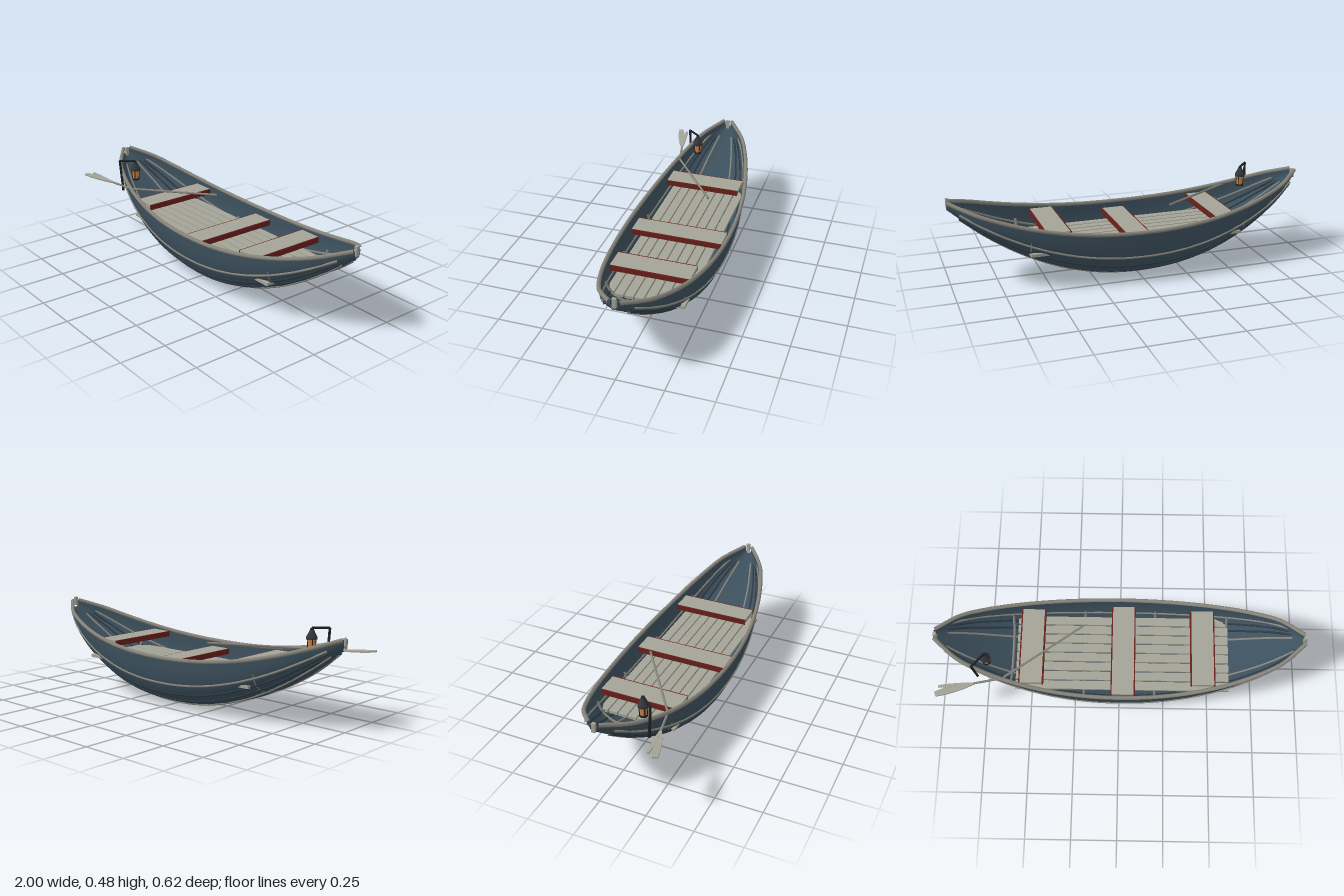
import * as THREE from 'three';

const mat = (name, color, side = THREE.FrontSide) => {
  const m = new THREE.MeshStandardMaterial({ color, side });
  m.name = name;
  return m;
};
const V = (x, y, z) => new THREE.Vector3(x, y, z);
const ZC = -0.01; // centreline of the hull

// Hull lines: half width, gunwale height and keel height at station x
const halfWidth = x => 0.287 * Math.pow(Math.max(0, 1 - x * x), 0.6);
const gunwale = x => 0.285 + 0.182 * Math.pow(Math.abs(x), 2.2);
const keel = x => 0.003 + 0.425 * Math.pow(Math.abs(x), 2.1);

// Point on the hull skin; a runs from -90 degrees (right rail) to +90 (left rail)
function hullPoint(x, a, scale = 1) {
  const e = 2 / 2.8;
  const u = Math.sign(a) * Math.pow(Math.abs(Math.sin(a)), e);
  const v = Math.pow(Math.max(0, Math.cos(a)), e);
  const g = gunwale(x);
  return V(x, g - (g - keel(x)) * v * scale, ZC + halfWidth(x) * u * scale);
}

function hullGeometry(nx = 16, na = 32) {
  const pos = [], idx = [];
  for (let i = 0; i <= nx; i++) {
    for (let j = 0; j <= na; j++) {
      const p = hullPoint(-0.995 + 1.99 * i / nx, (j / na - 0.5) * Math.PI);
      pos.push(p.x, p.y, p.z);
      if (i < nx && j < na) {
        const k = i * (na + 1) + j, l = k + na + 1;
        idx.push(k, l, k + 1, l, l + 1, k + 1);
      }
    }
  }
  const geo = new THREE.BufferGeometry();
  geo.setAttribute('position', new THREE.Float32BufferAttribute(pos, 3));
  geo.setIndex(idx);
  geo.computeVertexNormals();
  return geo;
}

export function createModel() {
  const boat = new THREE.Group();
  boat.name = 'rowingBoat';
  const paint = mat('bluePaint', 0x3c505d, THREE.DoubleSide);
  const dark = mat('darkPaint', 0x2b3942);
  const wood = mat('weatheredWood', 0xa3a396);
  const trim = mat('greyTrim', 0x86837a);
  const red = mat('redPaint', 0x6a1f1b);
  const iron = mat('blackIron', 0x1f2124);
  const roofMetal = mat('lanternMetal', 0x36373b);
  const glass = mat('amberGlass', 0xd08440);

  const add = (name, geo, material, x = 0, y = 0, z = 0, parent = boat) => {
    const m = new THREE.Mesh(geo, material);
    m.name = name;
    m.position.set(x, y, z);
    parent.add(m);
    return m;
  };
  const box = (name, w, h, d, material, x, y, z, parent) =>
    add(name, new THREE.BoxGeometry(w, h, d), material, x, y, z, parent);
  const tube = (name, pts, r, material, segs = 32, parent = boat) =>
    add(name, new THREE.TubeGeometry(new THREE.CatmullRomCurve3(pts), segs, r, 8), material, 0, 0, 0, parent);
  // Straight round bar between two points
  const bar = (name, a, b, r, material, parent) => {
    const m = add(name, new THREE.CylinderGeometry(r, r, a.distanceTo(b), 10), material, 0, 0, 0, parent);
    m.position.addVectors(a, b).multiplyScalar(0.5);
    m.quaternion.setFromUnitVectors(V(0, 1, 0), b.clone().sub(a).normalize());
    return m;
  };

  add('hull', hullGeometry(), paint);

  // Rails and strakes follow the hull lines on both sides
  const along = (a, end, n = 16) =>
    Array.from({ length: n + 1 }, (_, i) => hullPoint(-end + 2 * end * i / n, a));
  for (const s of [1, -1]) {
    const side = s > 0 ? 'left' : 'right';
    tube(side + 'Rail', along(s * Math.PI / 2, 0.992), 0.011, trim, 64);
    [[1.182, trim], [0.918, dark], [0.65, dark], [0.374, trim]].forEach(([a, m], i) =>
      tube(side + 'Strake' + (i + 1), along(s * a, 0.94), 0.006, m, 48));
  }

  // Stem posts
  box('bowPost', 0.016, 0.05, 0.02, wood, 0.99, 0.46, ZC);
  box('sternPost', 0.016, 0.05, 0.02, wood, -0.99, 0.442, ZC);

  // Frames inside the hull
  for (const x of [-0.6, -0.2, 0.2, 0.6]) {
    const pts = Array.from({ length: 17 }, (_, i) => hullPoint(x, (i / 8 - 1) * 1.3, 0.97));
    tube('frame', pts, 0.007, trim);
  }

  // Floorboards
  for (let i = 0; i < 8; i++)
    box('floorboard', 1.18, 0.016, 0.047, wood, 0.016, 0.198, ZC + (i - 3.5) * 0.0545);

  // Seats with red edge boards
  for (const [x, y, d] of [[-0.48, 0.295, 0.43], [0.02, 0.245, 0.515], [0.455, 0.3, 0.43]]) {
    const seat = new THREE.Group();
    seat.name = 'seat';
    seat.position.set(x, y, ZC);
    boat.add(seat);
    box('seatBoard', 0.12, 0.024, d, wood, 0, 0, 0, seat);
    for (const s of [1, -1])
      box('seatEdge', 0.008, 0.03, d, red, s * 0.063, -0.004, 0, seat);
  }

  // Oar resting over the rail, with a split blade
  const oar = new THREE.Group();
  oar.name = 'oar';
  boat.add(oar);
  const grip = V(-0.2, 0.36, -0.11), bend = V(-0.63, 0.343, 0.195), neck = V(-0.78, 0.348, 0.228);
  bar('oarShaft', grip, bend, 0.006, trim, oar);
  bar('oarNeck', bend, neck, 0.006, trim, oar);
  const blade = (tip, w) => {
    const len = neck.distanceTo(tip);
    const shape = new THREE.Shape();
    shape.moveTo(-0.005, 0);
    shape.bezierCurveTo(-w, len * 0.3, -w, len * 0.8, -w * 0.6, len);
    shape.lineTo(w * 0.6, len);
    shape.bezierCurveTo(w, len * 0.8, w, len * 0.3, 0.005, 0);
    const geo = new THREE.ExtrudeGeometry(shape, { depth: 0.008, bevelEnabled: false });
    geo.translate(0, 0, -0.004);
    const m = add('oarBlade', geo, wood, neck.x, neck.y, neck.z, oar);
    const yAxis = tip.clone().sub(neck).normalize();
    const xAxis = yAxis.clone().cross(V(0, 1, 0)).normalize();
    m.quaternion.setFromRotationMatrix(
      new THREE.Matrix4().makeBasis(xAxis, yAxis, xAxis.clone().cross(yAxis)));
  };
  blade(V(-0.98, 0.36, 0.295), 0.022);
  blade(V(-0.965, 0.361, 0.252), 0.01);

  // Lantern hanging from an iron bracket
  const lantern = new THREE.Group();
  lantern.name = 'lantern';
  boat.add(lantern);
  const top = V(-0.778, 0.472, 0.175), hook = V(-0.718, 0.474, 0.106);
  bar('lanternPost', V(-0.772, 0.285, 0.163), top, 0.007, iron, lantern);
  bar('lanternArm', top, hook, 0.006, iron, lantern);
  const lx = -0.716, lz = 0.106;
  const cyl = (name, r1, r2, h, y, m) =>
    add(name, new THREE.CylinderGeometry(r1, r2, h, 8), m, lx, y, lz, lantern);
  cyl('lanternBase', 0.021, 0.023, 0.01, 0.363, iron);
  cyl('lanternGlass', 0.022, 0.018, 0.05, 0.392, glass);
  cyl('lanternCollar', 0.029, 0.029, 0.012, 0.421, roofMetal);
  cyl('lanternRoof', 0.01, 0.029, 0.038, 0.446, roofMetal);
  cyl('lanternCap', 0.008, 0.01, 0.01, 0.468, iron);
  for (let i = 0; i < 4; i++) {
    const c = Math.cos(Math.PI * (i / 2 + 0.25)), s = Math.sin(Math.PI * (i / 2 + 0.25));
    bar('lanternBar', V(lx + c * 0.019, 0.365, lz + s * 0.019),
      V(lx + c * 0.023, 0.418, lz + s * 0.023), 0.0025, iron, lantern);
  }
  return boat;
}
